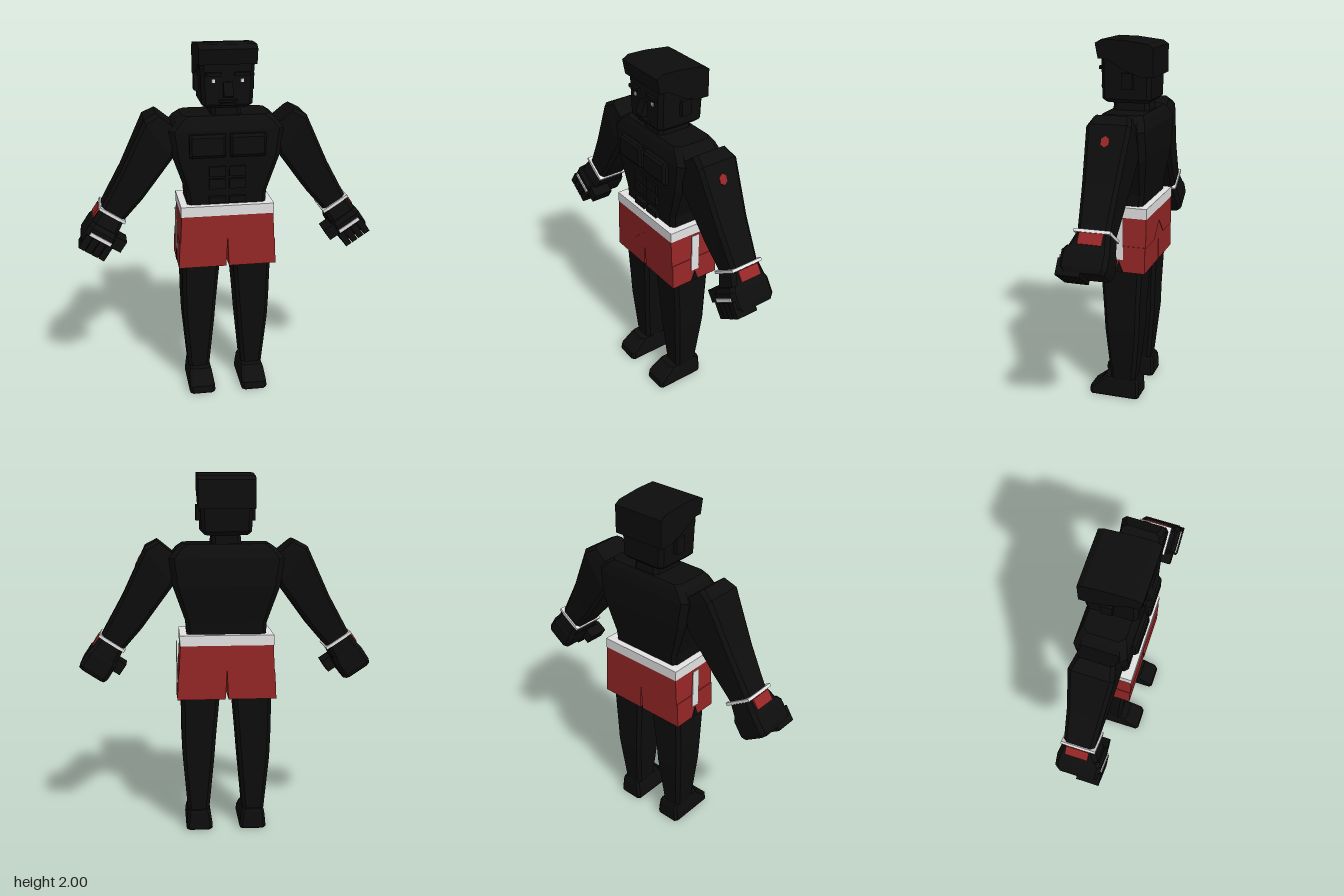
import * as THREE from 'three';

const mat = (name, color) => Object.assign(new THREE.MeshStandardMaterial({ color }), { name });

// Faceted normals
function flat(geo) {
  const g = geo.index ? geo.toNonIndexed() : geo;
  g.deleteAttribute('normal');
  g.computeVertexNormals();
  return g;
}

// Copy to the other side of x = 0, restoring the corner order
function mirror(geo) {
  const g = geo.clone().scale(-1, 1, 1);
  const p = g.attributes.position;
  const a = new THREE.Vector3(), b = new THREE.Vector3();
  for (let i = 0; i < p.count; i += 3) {
    a.fromBufferAttribute(p, i + 1);
    b.fromBufferAttribute(p, i + 2);
    p.setXYZ(i + 1, b.x, b.y, b.z);
    p.setXYZ(i + 2, a.x, a.y, a.z);
  }
  return flat(g);
}

// Chamfered rectangle from point p to point q (x, y), spanning z0..z1
function ring(p, q, z0, z1, c = 0.02) {
  const w = Math.hypot(q[0] - p[0], q[1] - p[1]);
  const t = c / w;
  const at = (s, z) => [p[0] + (q[0] - p[0]) * s, p[1] + (q[1] - p[1]) * s, z];
  return [at(1, z1 - c), at(1, z0 + c), at(1 - t, z0), at(t, z0),
    at(0, z0 + c), at(0, z1 - c), at(t, z1), at(1 - t, z1)];
}
const level = (y, x0, x1, z0, z1, c) => ring([x0, y], [x1, y], z0, z1, c);

// Skin a stack of rings, listed from bottom to top
function loft(rings) {
  const n = rings[0].length, index = [], last = (rings.length - 1) * n;
  for (let r = 0; r < rings.length - 1; r++) {
    for (let i = 0; i < n; i++) {
      const a = r * n + i, b = r * n + (i + 1) % n;
      index.push(a, b, b + n, a, b + n, a + n);
    }
  }
  for (let i = 1; i < n - 1; i++) index.push(0, i + 1, i, last, last + i, last + i + 1);
  const g = new THREE.BufferGeometry();
  g.setAttribute('position', new THREE.Float32BufferAttribute(rings.flat(2), 3));
  g.setIndex(index);
  return flat(g);
}

// Box given by its extents
const box = (x0, x1, y0, y1, z0, z1) => flat(new THREE.BoxGeometry(x1 - x0, y1 - y0, z1 - z0)
  .translate((x0 + x1) / 2, (y0 + y1) / 2, (z0 + z1) / 2));

const extrude = (pts, depth) => flat(new THREE.ExtrudeGeometry(
  new THREE.Shape(pts.map(([x, y]) => new THREE.Vector2(x, y))), { depth, bevelEnabled: false }));

// Side profile in (z, y), extruded across x0..x1
const sideways = (pts, x0, x1) => extrude(pts, x1 - x0).rotateY(-Math.PI / 2).translate(x1, 0, 0);

export function createModel() {
  const root = new THREE.Group();
  const skin = mat('black skin', 0x0d0d0d);
  const red = mat('dark red cloth', 0x962626);
  const white = mat('off white trim', 0xe4e4e4);

  const add = (name, geo, m = skin) => {
    const mesh = new THREE.Mesh(geo, m);
    mesh.name = name;
    root.add(mesh);
  };
  const pair = (name, geo, m) => {
    add('left ' + name, geo, m);
    add('right ' + name, mirror(geo), m);
  };

  // Head and hair
  add('head', loft([
    level(1.67, -0.115, 0.115, -0.13, 0.1),
    level(1.69, -0.135, 0.135, -0.15, 0.118),
    level(1.93, -0.145, 0.145, -0.155, 0.12)]));
  add('hair', sideways([[0.085, 1.9], [0.13, 1.9], [0.145, 1.98], [0.11, 2], [0, 1.997],
    [-0.14, 1.98], [-0.17, 1.96], [-0.17, 1.81], [-0.1, 1.81], [-0.02, 1.84]], -0.153, 0.153));
  add('neck', loft([
    level(1.58, -0.085, 0.085, -0.13, 0.08),
    level(1.69, -0.075, 0.075, -0.12, 0.07)]));

  // Face
  add('nose', sideways([[0.1, 1.81], [0.13, 1.81], [0.157, 1.74], [0.13, 1.73], [0.1, 1.73]], -0.025, 0.025));
  add('upper lip', box(-0.05, 0.05, 1.705, 1.717, 0.1, 0.134));
  add('lower lip', box(-0.04, 0.04, 1.688, 1.7, 0.1, 0.13));
  pair('eye', box(0.067, 0.084, 1.807, 1.824, 0.117, 0.125), white);
  pair('brow', box(0.035, 0.115, 1.842, 1.86, 0.1, 0.135));
  pair('ear', box(0.13, 0.162, 1.745, 1.83, -0.06, 0.0));

  // Torso with chest and stomach plates
  add('torso', loft([
    level(1.1, -0.215, 0.215, -0.13, 0.095),
    level(1.2, -0.22, 0.22, -0.14, 0.1),
    level(1.4, -0.29, 0.29, -0.167, 0.115, 0.03),
    level(1.55, -0.31, 0.31, -0.165, 0.115, 0.03),
    level(1.6, -0.27, 0.27, -0.15, 0.1, 0.03),
    level(1.625, -0.235, 0.235, -0.135, 0.085, 0.03)]));
  pair('chest muscle', loft([
    level(1.41, 0.012, 0.205, 0.09, 0.135, 0.012),
    level(1.425, 0.012, 0.205, 0.09, 0.146, 0.012),
    level(1.52, 0.012, 0.205, 0.09, 0.146, 0.012),
    level(1.535, 0.012, 0.205, 0.09, 0.135, 0.012)]));
  for (const [y0, y1] of [[1.3, 1.355], [1.23, 1.285], [1.15, 1.185]]) {
    pair('stomach muscle', box(0.01, 0.1, y0, y1, 0.08, 0.122));
  }

  // Shorts: waistband, hips with a notch, flared legs and side stripes
  add('waistband', box(-0.256, 0.256, 1.08, 1.137, -0.17, 0.132), white);
  add('hips', extrude([[-0.253, 1.08], [-0.262, 0.92], [-0.09, 0.92], [0, 1.01],
    [0.09, 0.92], [0.262, 0.92], [0.253, 1.08]], 0.298).translate(0, 0, -0.168), red);
  pair('shorts leg', extrude([[0, 1.01], [0, 0.95], [0.008, 0.78], [0.272, 0.78],
    [0.265, 0.925], [0.09, 0.925]], 0.292).translate(0, 0, -0.165), red);
  pair('side stripe', sideways([[-0.045, 1.08], [-0.045, 0.85], [0.005, 0.85], [0.005, 1.08]],
    0.268, 0.273), white);
  pair('hem notch', sideways([[-0.045, 0.78], [0.005, 0.78], [-0.02, 0.84]], 0.269, 0.274));

  // Legs and feet
  pair('leg', loft([
    level(0.1, 0.096, 0.216, -0.09, 0.05),
    level(0.42, 0.068, 0.243, -0.122, 0.075),
    level(0.55, 0.058, 0.248, -0.125, 0.08),
    level(0.82, 0.035, 0.25, -0.14, 0.097)]));
  pair('foot', loft([
    level(0, 0.082, 0.222, -0.112, 0.173, 0.015),
    level(0.012, 0.077, 0.227, -0.117, 0.176, 0.015),
    level(0.045, 0.08, 0.224, -0.116, 0.172, 0.015),
    level(0.1, 0.088, 0.218, -0.114, 0.105, 0.015),
    level(0.115, 0.094, 0.212, -0.107, 0.09, 0.015)]));

  // Arms
  pair('arm', loft([
    ring([0.562, 1.05], [0.682, 1.13], -0.108, 0.06),
    ring([0.458, 1.17], [0.565, 1.34], -0.118, 0.075),
    ring([0.29, 1.4], [0.437, 1.61], -0.14, 0.096),
    ring([0.255, 1.55], [0.372, 1.645], -0.12, 0.08)]));
  const patch = new THREE.CylinderGeometry(0.03, 0.03, 0.008, 6).scale(0.8, 1, 1)
    .rotateX(Math.PI / 2).rotateY(Math.PI / 2).rotateZ(0.44).translate(0.475, 1.53, -0.02);
  add('shoulder patch', flat(patch), red);

  // Gloves, built upright with the wrist at the origin, then tilted along the arm
  const hand = (name, geo, m) => pair(name, geo.rotateZ(0.588).translate(0.622, 1.09, 0), m);
  hand('wristband', box(-0.081, 0.081, -0.008, 0.008, -0.117, 0.072), white);
  hand('glove cuff', loft([
    level(-0.1, -0.08, 0.08, -0.125, 0.1),
    level(-0.008, -0.073, 0.073, -0.112, 0.066)]));
  hand('cuff patch', box(0.06, 0.084, -0.07, -0.01, -0.085, 0.04), red);
  hand('fist', loft([
    level(-0.21, -0.08, 0.075, -0.115, 0.1),
    level(-0.185, -0.088, 0.085, -0.128, 0.118),
    level(-0.1, -0.088, 0.085, -0.128, 0.118),
    level(-0.075, -0.08, 0.078, -0.12, 0.1)]));
  hand('thumb', box(-0.138, -0.07, -0.15, -0.08, -0.005, 0.11));
  for (let i = 0; i < 4; i++) {
    const x = -0.084 + i * 0.041;
    hand('finger', box(x, x + 0.036, -0.232, -0.145, 0, 0.126));
  }
  hand('knuckle stripe', box(-0.07, 0.06, -0.142, -0.123, 0.116, 0.125), white);

  return root;
}
